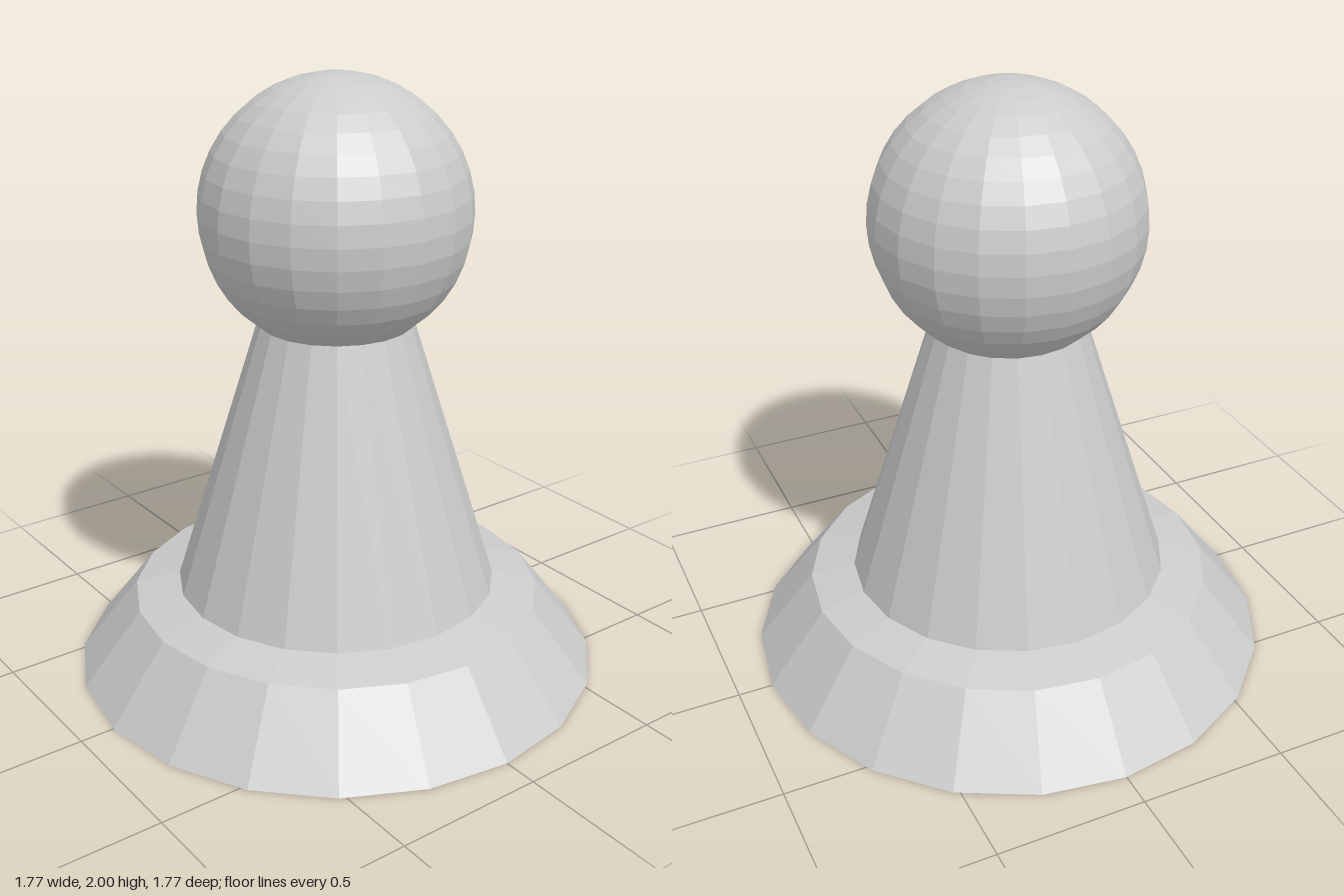
import * as THREE from 'three';

const SIDES = 20;

export function createModel() {
  const group = new THREE.Group();
  const material = new THREE.MeshStandardMaterial({
    color: 0xcccccc, flatShading: true, side: THREE.DoubleSide,
  });

  const add = (name, geometry, y = 0) => {
    const mesh = new THREE.Mesh(geometry, material);
    mesh.name = name;
    mesh.position.y = y;
    group.add(mesh);
  };

  const lathe = (points) =>
    new THREE.LatheGeometry(points.map(([r, y]) => new THREE.Vector2(r, y)), SIDES);

  // Hollow flared foot, closed above by a shallow cone
  add('base', lathe([[0.885, 0], [0.69, 0.25], [0, 0.41]]));

  // Tapered body, rising from the foot
  add('body', lathe([[0.54, 0.285], [0.255, 1.2]]));

  // Ball head, sunk slightly into the body
  add('head', new THREE.SphereGeometry(0.44, SIDES, 20), 1.56);

  return group;
}
